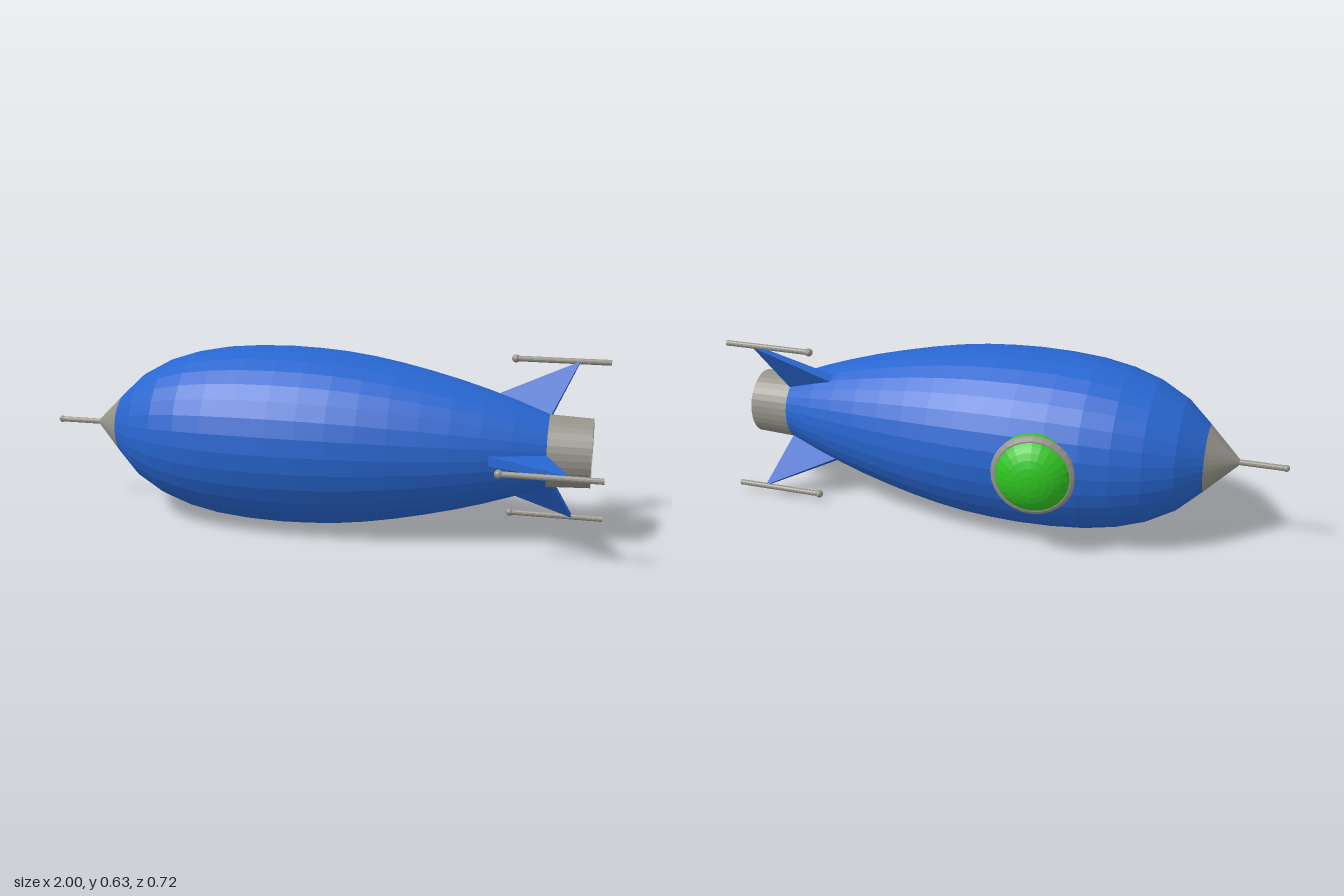
import * as THREE from 'three';
import { ConvexGeometry } from 'three/addons/geometries/ConvexGeometry.js';

const paint = (color) =>
  new THREE.MeshStandardMaterial({ color, flatShading: true, side: THREE.DoubleSide });

export function createModel() {
  const blue = paint(0x2866d0);
  const grey = paint(0x96948a);
  const green = paint(0x30c522);

  const model = new THREE.Group();
  model.name = 'rocket';

  // Everything hangs on the long axis of the hull; the nose points to -x
  const hull = new THREE.Group();
  hull.name = 'hull';
  hull.position.set(0, 0.314, 0.022);
  model.add(hull);

  function add(parent, name, geometry, material) {
    const mesh = new THREE.Mesh(geometry, material);
    mesh.name = name;
    parent.add(mesh);
    return mesh;
  }

  // Open shell turned around the x axis from [x, radius] pairs
  function shell(name, profile, material) {
    const points = profile.map(([x, r]) => new THREE.Vector2(r, x));
    add(hull, name, new THREE.LatheGeometry(points, 32).rotateZ(-Math.PI / 2), material);
  }

  // Thin grey rod with a ball at its front end and a blue rear cap
  function rod(parent, name, x0, x1, ballRadius) {
    const group = new THREE.Group();
    group.name = name;
    parent.add(group);
    const bar = new THREE.CylinderGeometry(0.01, 0.01, x1 - x0, 12).rotateZ(-Math.PI / 2);
    add(group, name + 'Bar', bar, [grey, blue, grey]).position.x = (x0 + x1) / 2;
    add(group, name + 'Ball', new THREE.SphereGeometry(ballRadius, 12, 8), grey).position.x = x0;
    return group;
  }

  // Hull: nose cone, body and open nozzle
  shell('noseCone', [[-0.835, 0.008], [-0.725, 0.115]], grey);
  shell('body', [
    [-0.725, 0.115], [-0.64, 0.193], [-0.54, 0.248], [-0.44, 0.281], [-0.335, 0.301],
    [-0.22, 0.311], [-0.1, 0.314], [0, 0.311], [0.1, 0.304], [0.2, 0.291], [0.3, 0.273],
    [0.4, 0.251], [0.5, 0.226], [0.6, 0.197], [0.7, 0.164], [0.81, 0.123],
  ], blue);
  shell('nozzle', [[0.81, 0.123], [0.955, 0.117]], grey);
  rod(hull, 'noseProbe', -0.988, -0.8, 0.012);

  // Tapered fin in the x-z plane: two root corners and a tip, each [x, radius, half thickness]
  const corners = [[0.61, 0.178, 0.017], [0.81, 0.118, 0.015], [0.895, 0.322, 0.007]];
  const finGeometry = new ConvexGeometry(corners.flatMap(([x, r, t]) =>
    [new THREE.Vector3(x, t, r), new THREE.Vector3(x, -t, r)]));

  // Three fins, each with a rod along its tip
  for (let i = 0; i < 3; i++) {
    const fin = new THREE.Group();
    fin.name = 'tailFin' + (i + 1);
    fin.rotation.x = (i * Math.PI * 2) / 3;
    hull.add(fin);
    add(fin, 'finBlade', finGeometry, blue);
    rod(fin, 'finRod', 0.676, 1, 0.0145).position.z = 0.324;
  }

  // Domed porthole on the back, tilted to follow the hull
  const porthole = new THREE.Group();
  porthole.name = 'porthole';
  porthole.position.set(-0.195, 0, -0.309);
  porthole.rotation.y = Math.PI + 0.115;
  hull.add(porthole);
  const rim = add(porthole, 'portholeRim', new THREE.TorusGeometry(0.123, 0.021, 10, 28), grey);
  rim.scale.z = 0.75;
  const dome = new THREE.SphereGeometry(0.14, 24, 16).rotateX(Math.PI / 2);
  const glass = add(porthole, 'portholeGlass', dome, green);
  glass.scale.z = 0.69;
  glass.position.z = -0.028;

  return model;
}
